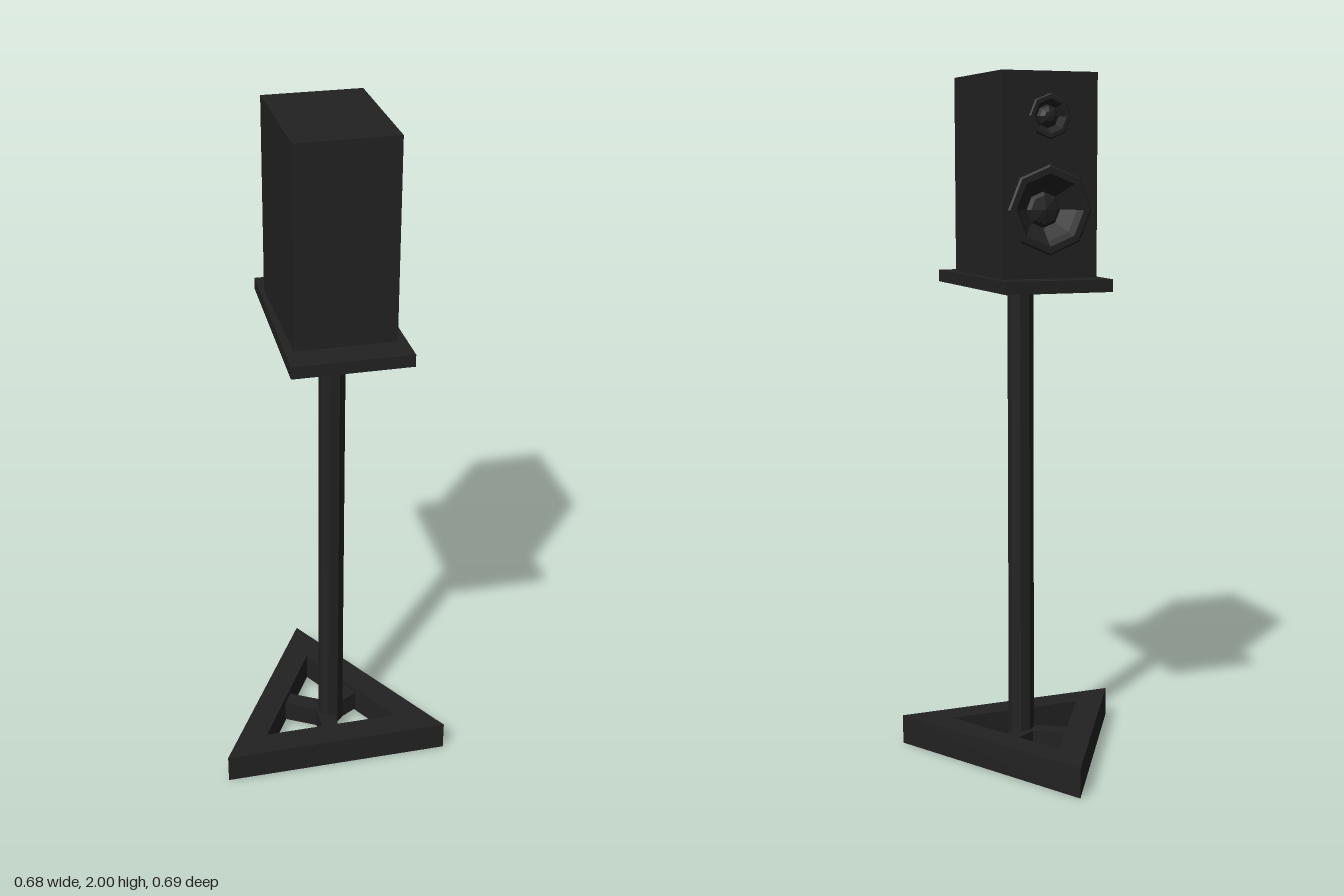
import * as THREE from 'three';

// Unshared vertices give crisp low-poly facets
function faceted(geometry) {
  const g = geometry.index ? geometry.toNonIndexed() : geometry;
  g.computeVertexNormals();
  return g;
}

const polygon = (points) => points.map(([x, y]) => new THREE.Vector2(x, y));

// Slab from an outline in x and z, between two heights
function slab(outline, bottom, top, hole) {
  const shape = new THREE.Shape(polygon(outline));
  if (hole) shape.holes.push(new THREE.Path(polygon(hole)));
  return new THREE.ExtrudeGeometry(shape, { depth: top - bottom, bevelEnabled: false })
    .rotateX(Math.PI / 2).translate(0, top, 0);
}

export function createModel() {
  const model = new THREE.Group();
  const black = new THREE.MeshStandardMaterial({ color: 0x222222 });
  black.name = 'matte black';

  function add(name, geometry, parent = model) {
    const mesh = new THREE.Mesh(faceted(geometry), black);
    mesh.name = name;
    parent.add(mesh);
    return mesh;
  }

  // Triangular base frame
  const base = new THREE.Group();
  base.name = 'base';
  model.add(base);
  const centreZ = 0.047;
  const outer = [[0, -0.345], [0.34, 0.243], [-0.34, 0.243]];
  const inner = outer.map(([x, z]) => [x * 0.6, centreZ + (z - centreZ) * 0.6]);
  add('baseFrame', slab(outer, 0, 0.088, inner), base);

  // Spokes from the hub to the middle of each side
  for (let i = 0; i < 3; i++) {
    const spoke = new THREE.BoxGeometry(0.05, 0.065, 0.13).translate(0, 0.0375, 0.065);
    spoke.rotateY(i * Math.PI * 2 / 3).translate(0, 0, centreZ);
    add('baseSpoke', spoke, base);
  }

  // Octagonal pole
  add('pole', new THREE.CylinderGeometry(0.038, 0.038, 1.37, 8)
    .rotateY(Math.PI / 8).translate(0.02, 0.725, 0.065));

  // Slightly skewed top plate
  add('topPlate', slab(
    [[-0.138, -0.232], [0.174, -0.23], [0.177, 0.343], [-0.154, 0.341]], 1.405, 1.44));

  // Cabinet: solid body plus a baffle with two openings, facing -z
  const cabinet = new THREE.Group();
  cabinet.name = 'speakerCabinet';
  model.add(cabinet);
  const left = -0.128, right = 0.152, bottom = 1.438, top = 2;
  const faceZ = -0.142, backZ = -0.08, rearZ = 0.256;
  const midX = (left + right) / 2;
  add('cabinetBody', new THREE.BoxGeometry(right - left, top - bottom, rearZ - backZ)
    .translate(midX, (top + bottom) / 2, (rearZ + backZ) / 2), cabinet);

  // Driver profiles: radius, then distance out from the baffle
  const drivers = [
    { name: 'woofer', y: 1.627, opening: 0.108, profile: [
      [0.124, 0], [0.118, 0.004], [0.1, 0.004], [0.086, -0.014],
      [0.05, -0.05], [0.04, -0.04], [0, -0.03]] },
    { name: 'tweeter', y: 1.88, opening: 0.052, profile: [
      [0.062, 0], [0.058, 0.004], [0.047, 0.004], [0.032, -0.02],
      [0.026, -0.012], [0.014, -0.004], [0, -0.002]] },
  ];

  const baffle = new THREE.Shape(polygon([[left, bottom], [right, bottom], [right, top], [left, top]]));
  for (const d of drivers) {
    const ring = Array.from({ length: 8 }, (_, i) => {
      const a = i * Math.PI / 4;
      return [midX + d.opening * Math.sin(a), d.y + d.opening * Math.cos(a)];
    });
    baffle.holes.push(new THREE.Path(polygon(ring)));
    add(d.name, new THREE.LatheGeometry(polygon(d.profile), 8)
      .rotateX(-Math.PI / 2).translate(midX, d.y, faceZ), cabinet);
  }
  add('baffle', new THREE.ExtrudeGeometry(baffle, { depth: backZ - faceZ, bevelEnabled: false })
    .translate(0, 0, faceZ), cabinet);

  return model;
}
